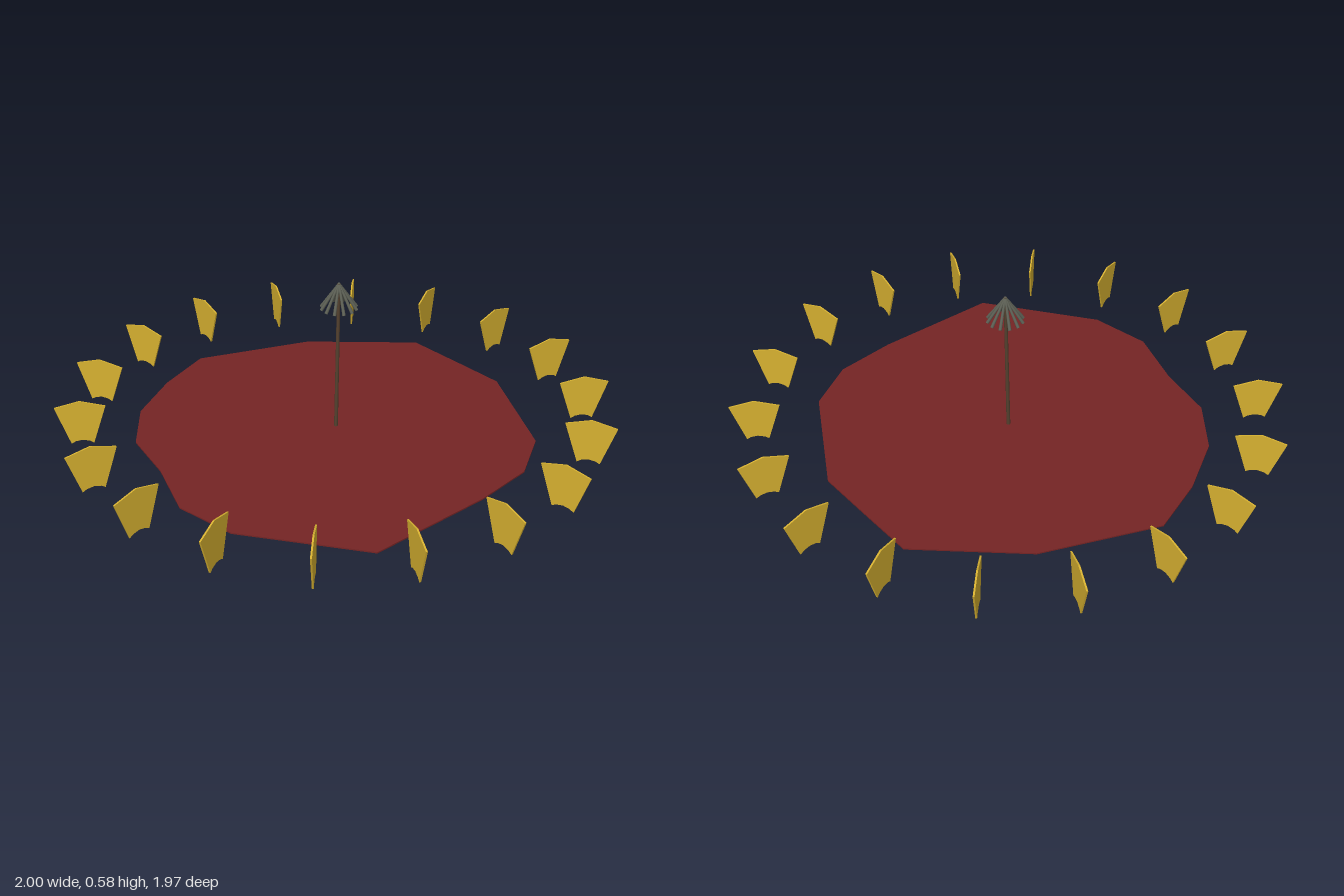
import * as THREE from 'three';

const mat = (name, color) => Object.assign(new THREE.MeshStandardMaterial({ color }), { name });

export function createModel() {
  const model = new THREE.Group();
  const red = mat('dark red', 0x752424);
  const gold = mat('gold', 0xd6b030);
  const brown = mat('stem brown', 0x54412f);
  const grey = mat('rib grey', 0x5c5f54);

  const add = (name, geometry, material, parent = model) => {
    const mesh = new THREE.Mesh(geometry, material);
    mesh.name = name;
    parent.add(mesh);
    return mesh;
  };
  const plate = (points, depth) => new THREE.ExtrudeGeometry(
    new THREE.Shape(points.map(([x, y]) => new THREE.Vector2(x, y))), { depth, bevelEnabled: false });

  // Thin rod between two points, narrowing from radius r0 to r1
  const rod = (name, a, b, r0, r1, material) => {
    const dir = b.clone().sub(a);
    const mesh = add(name, new THREE.CylinderGeometry(r1, r0, dir.length(), 8), material);
    mesh.position.copy(a).add(b).multiplyScalar(0.5);
    mesh.quaternion.setFromUnitVectors(new THREE.Vector3(0, 1, 0), dir.normalize());
  };

  // Irregular flat disc, outline given as x, z
  const outline = [[0, -0.75], [0.4, -0.55], [0.7, -0.23], [0.685, 0], [0.67, 0.21], [0.42, 0.585],
    [0.23, 0.68], [0, 0.685], [-0.47, 0.64], [-0.72, 0.23], [-0.74, 0], [-0.64, -0.22],
    [-0.58, -0.43], [-0.43, -0.59], [-0.22, -0.69]];
  const disc = plate(outline, 0.005);
  disc.rotateX(Math.PI / 2);
  add('disc', disc, red).position.y = 0.021;

  // Ring of upright radial plates with a peaked top and notched foot
  const fin = plate([[0.87, 0.003], [0.885, 0.012], [0.91, 0.017], [0.935, 0.012], [0.95, 0.003],
    [1, 0.15], [0.91, 0.173], [0.82, 0.15]], 0.006);
  fin.translate(0, 0, -0.003);
  const ring = new THREE.Group();
  ring.name = 'plateRing';
  model.add(ring);
  for (let i = 0; i < 18; i++) add('plate', fin, gold, ring).rotation.y = i * Math.PI / 9;

  // Slightly leaning stem
  const apex = new THREE.Vector3(0.015, 0.583, 0);
  rod('stem', new THREE.Vector3(0, 0.018, 0), apex, 0.007, 0.006, brown);

  // Ribs drooping from the top of the stem
  for (let i = 0; i < 12; i++) {
    const a = i * Math.PI / 6;
    const tip = new THREE.Vector3(apex.x + 0.064 * Math.cos(a), 0.488, 0.064 * Math.sin(a));
    rod('rib', tip, apex, 0.006, 0.004, grey);
  }
  return model;
}
